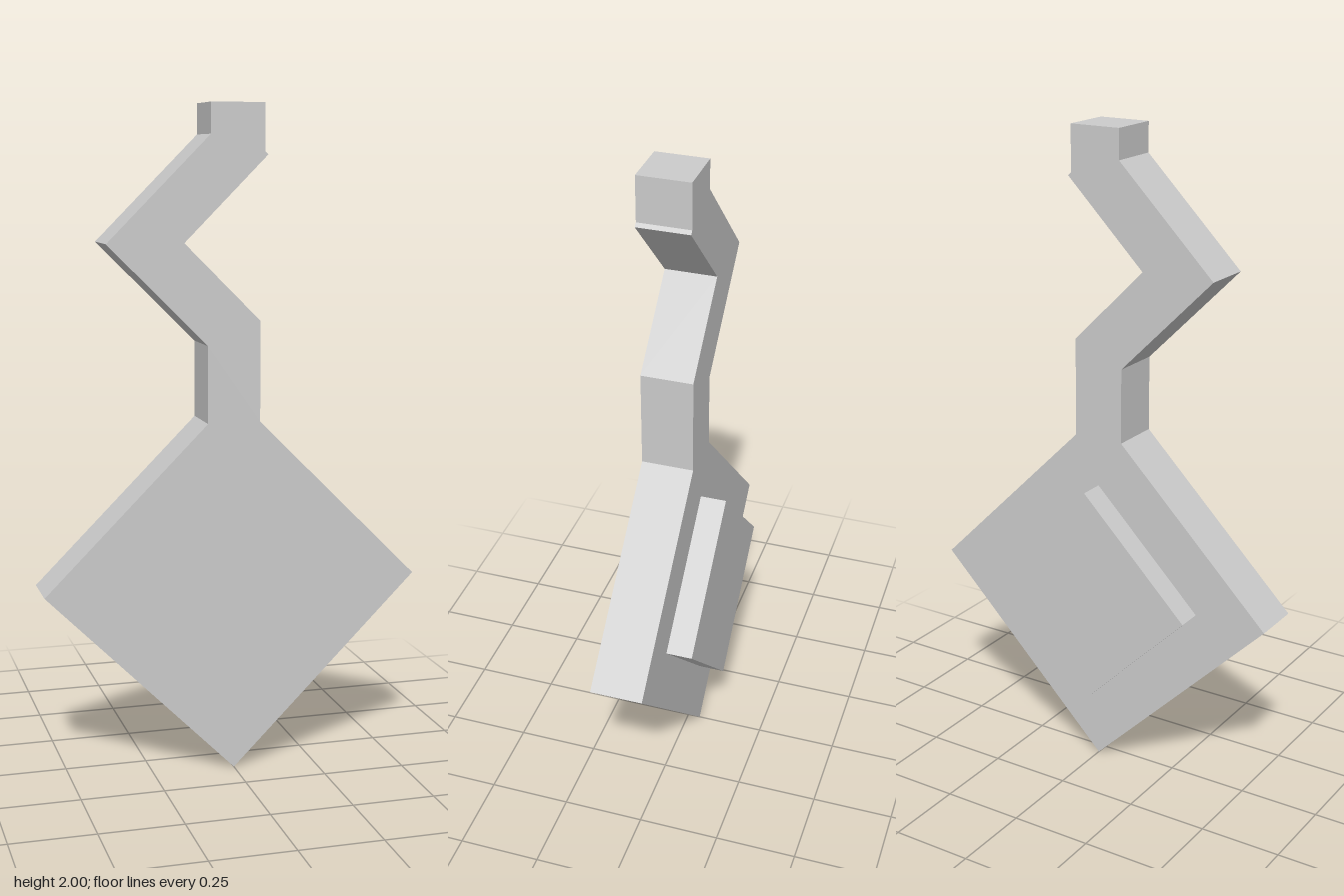
import * as THREE from 'three';

const material = new THREE.MeshStandardMaterial({ color: 0xcccccc, flatShading: true });

// Flat outline extruded from zBack to zFront
function slab(name, points, zBack, zFront) {
  const shape = new THREE.Shape(points.map(([x, y]) => new THREE.Vector2(x, y)));
  const geometry = new THREE.ExtrudeGeometry(shape, { depth: zFront - zBack, bevelEnabled: false });
  geometry.translate(0, 0, zBack);
  const mesh = new THREE.Mesh(geometry, material);
  mesh.name = name;
  return mesh;
}

export function createModel() {
  const group = new THREE.Group();
  group.name = 'zigzagPaddle';

  // Diamond head and zigzag handle in one outline, counter-clockwise from the bottom tip
  group.add(slab('diamondAndZigzagHandle', [
    [0, 0], [0.575, 0.575], [0.08, 1.07],
    [0.08, 1.37], [-0.15, 1.6], [0.09, 1.84], [0.102, 1.852], [0.092, 1.862],
    [0.092, 2], [-0.07, 2], [-0.07, 1.91],
    [-0.38, 1.6], [-0.08, 1.3], [-0.08, 1.07], [-0.575, 0.575],
  ], -0.04, 0.12));

  // Smaller raised diamond on the back
  const r = 0.346, cy = 0.575;
  group.add(slab('backPlate', [[0, cy - r], [r, cy], [0, cy + r], [-r, cy]], -0.12, -0.04));

  return group;
}
